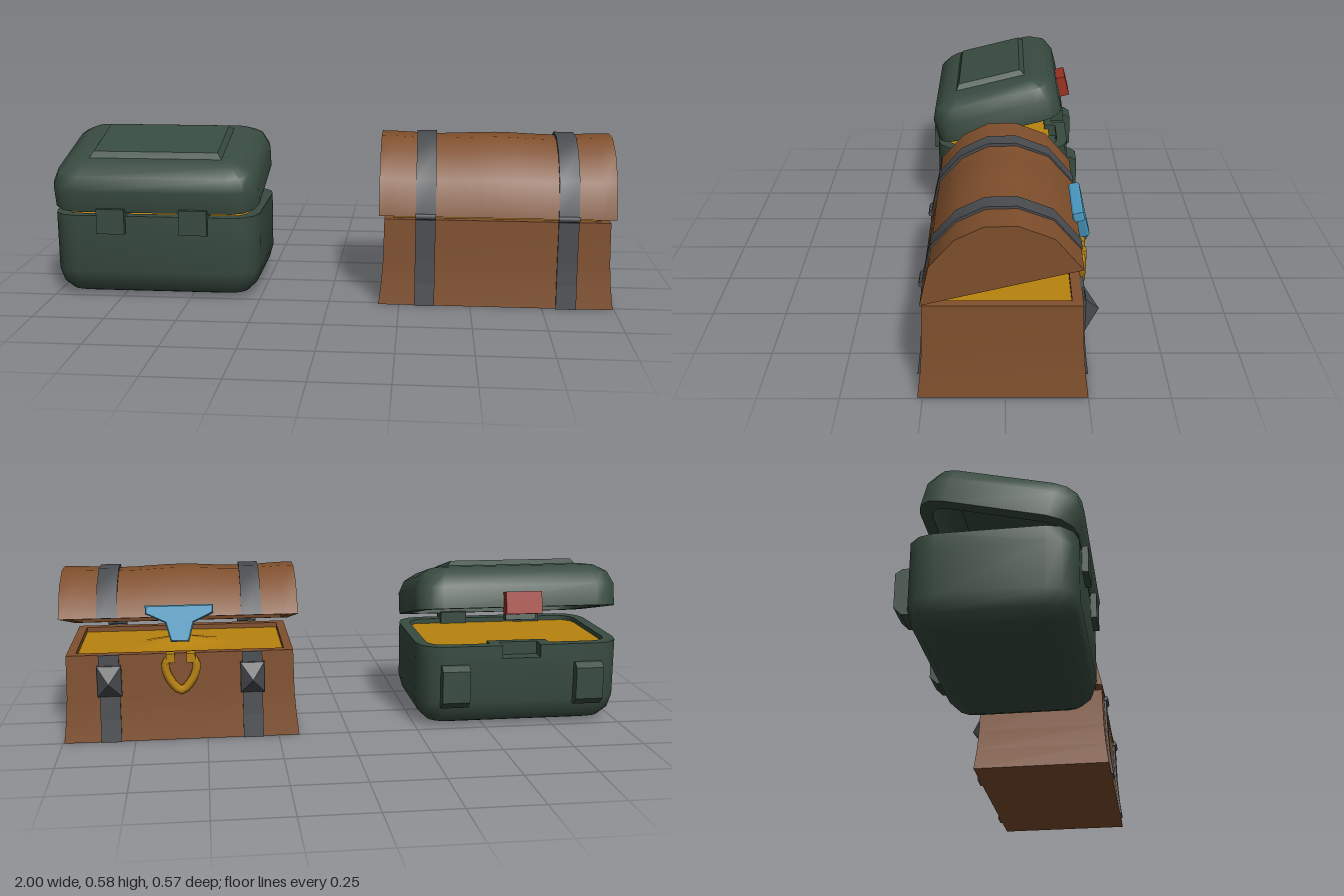
import * as THREE from 'three';
import { toCreasedNormals } from 'three/addons/utils/BufferGeometryUtils.js';

const mat = (name, color, side = THREE.FrontSide) => {
  const m = new THREE.MeshStandardMaterial({ color, side });
  m.name = name;
  return m;
};

// Rounded rectangle outline as [x, y] pairs, starting at the (+,+) corner
function roundRect(hx, hy, r, seg) {
  const pts = [];
  for (let c = 0; c < 4; c++) {
    const sx = c === 0 || c === 3 ? 1 : -1, sy = c < 2 ? 1 : -1;
    for (let i = 0; i <= seg; i++) {
      const t = (c + (seg ? i / seg : 0.5)) * Math.PI / 2;
      pts.push([sx * (hx - r) + r * Math.cos(t), sy * (hy - r) + r * Math.sin(t)]);
    }
  }
  return pts;
}

// Skin over stacked rounded rectangles [y, halfX, halfZ, radius]
function loft(rings, seg, crease) {
  const pos = [], idx = [], n = 4 * (seg + 1);
  for (const [y, hx, hz, r] of rings)
    for (const [x, z] of roundRect(hx, hz, r, seg)) pos.push(x, y, z);
  for (let j = 0; j < rings.length - 1; j++)
    for (let k = 0; k < n; k++) {
      const a = j * n + k, c = j * n + (k + 1) % n;
      idx.push(a, a + n, c, c, a + n, c + n);
    }
  const g = new THREE.BufferGeometry();
  g.setAttribute('position', new THREE.Float32BufferAttribute(pos, 3));
  g.setIndex(idx);
  return toCreasedNormals(g, crease);
}

const toShape = pts => new THREE.Shape(pts.map(([x, y]) => new THREE.Vector2(x, y)));

// Side profile of [distance toward the back, height], extruded along x and centred
function sideExtrude(pts, width, steps = 1) {
  const g = new THREE.ExtrudeGeometry(toShape(pts), { depth: width, steps, bevelEnabled: false });
  g.translate(0, 0, -width / 2);
  g.rotateY(Math.PI / 2);
  return g;
}

function add(parent, name, geo, material, x = 0, y = 0, z = 0) {
  const m = new THREE.Mesh(geo, material);
  m.name = name;
  m.position.set(x, y, z);
  parent.add(m);
  return m;
}

function hingeGroup(parent, name, y, z, angle) {
  const g = new THREE.Group();
  g.name = name;
  g.position.set(0, y, z);
  g.rotation.x = angle;
  parent.add(g);
  return g;
}

function makeCase(green, red, gold) {
  const g = new THREE.Group();
  g.name = 'greenCase';
  const hx = 0.372, hz = 0.257, r = 0.09, cz = 0.009;

  // Body with rounded bottom
  add(g, 'caseBody', loft([
    [0, 0, 0, 0], [0, hx - 0.085, hz - 0.085, 0.03], [0.014, hx - 0.045, hz - 0.045, 0.055],
    [0.045, hx - 0.014, hz - 0.014, 0.08], [0.095, hx, hz, r], [0.255, hx, hz, r], [0.255, 0, 0, 0],
  ], 3, 0.7), green, 0, 0, cz);

  // Rim with a pocket for the catch at the back
  const notched = (w, d, a, b, rad) => {
    const p = roundRect(a, b, rad, 3);
    p.splice(4, 0, [w, b], [w, b - d], [-w, b - d], [-w, b]);
    return p;
  };
  const rim = toShape(notched(0.07, 0.055, hx, hz, r));
  rim.holes.push(toShape(notched(0.11, 0.045, hx - 0.04, hz - 0.04, 0.06)));
  const rimGeo = new THREE.ExtrudeGeometry(rim, { depth: 0.047, bevelEnabled: false });
  rimGeo.rotateX(-Math.PI / 2);
  add(g, 'caseRim', toCreasedNormals(rimGeo, 0.7), green, 0, 0.255, cz);
  add(g, 'caseContents', new THREE.BoxGeometry(0.67, 0.03, 0.4), gold, 0, 0.27, 0.02);

  // Paired hinges at the front and clasps at the back
  const clasp = [[0.23, 0.235], [0.265, 0.235], [0.287, 0.22], [0.287, 0.105], [0.262, 0.08], [0.23, 0.08]];
  for (const s of [-1, 1]) {
    add(g, 'caseHinge', new THREE.BoxGeometry(0.1, 0.09, 0.075), green, s * 0.148, 0.285, 0.248);
    add(g, 'caseClasp', sideExtrude(clasp, 0.1), green, s * 0.245, 0, 0);
  }

  // Hollow lid, raised panel and catch
  const lid = hingeGroup(g, 'caseLid', 0.315, 0.265, 0.245);
  const lz = 0.252;
  add(lid, 'caseLidShell', loft([
    [0.12, 0, 0, 0], [0.12, 0.3, 0.18, 0.03], [0.08, hx - 0.04, lz - 0.04, 0.06],
    [0, hx - 0.04, lz - 0.04, 0.06], [0, hx, lz, r], [0.08, hx, lz, r],
    [0.126, hx - 0.02, lz - 0.02, 0.08], [0.153, hx - 0.065, lz - 0.065, 0.05],
    [0.16, hx - 0.1, lz - 0.1, 0.03], [0.16, 0, 0, 0],
  ], 3, 0.7), green, 0, 0, -lz);
  add(lid, 'caseLidPanel', loft([
    [0.15, 0.243, 0.142, 0], [0.16, 0.24, 0.139, 0], [0.18, 0.225, 0.124, 0], [0.18, 0, 0, 0],
  ], 0, 0.3), green, 0, 0, -lz);
  add(lid, 'caseTab', new THREE.BoxGeometry(0.11, 0.07, 0.03), green, 0, -0.01, -0.47);
  add(lid, 'caseCatch', new THREE.BoxGeometry(0.13, 0.08, 0.045), red, 0, 0.014, -0.518);
  return g;
}

function makeChest(brown, grey, gold, blue) {
  const g = new THREE.Group();
  g.name = 'woodChest';
  const cz = 0.008;
  const flare = [[0, 0.409, 0.258], [0.08, 0.4, 0.248], [0.16, 0.394, 0.242], [0.307, 0.391, 0.238]];

  // Flared open box
  add(g, 'chestBody', loft([
    [0, 0, 0, 0], ...flare.map(f => [...f, 0]),
    [0.307, 0.36, 0.205, 0], [0.2, 0.36, 0.205, 0], [0.2, 0, 0, 0],
  ], 0, 0.5), brown, 0, 0, cz);

  // Treasure surface with a low mound
  const heap = new THREE.PlaneGeometry(0.72, 0.41, 16, 10);
  heap.rotateX(-Math.PI / 2);
  const hp = heap.attributes.position;
  for (let i = 0; i < hp.count; i++) {
    const d = Math.hypot(hp.getX(i) / 0.16, hp.getZ(i) / 0.1);
    hp.setY(i, 0.289 + 0.031 * Math.max(0, 1 - d));
  }
  heap.computeVertexNormals();
  add(g, 'chestTreasure', heap, gold, 0, 0, cz);

  // Straps, knuckles and pyramid studs
  const band = s => [...flare.map(([y, , z]) => [s * (z - 0.004) - cz, y]),
    ...flare.map(([y, , z]) => [s * (z + 0.008) - cz, y]).reverse()];
  const stud = new THREE.ConeGeometry(0.0594, 0.045, 4).toNonIndexed();
  stud.rotateY(Math.PI / 4);
  stud.rotateX(-Math.PI / 2);
  stud.scale(1, 1.3, 1);
  stud.computeVertexNormals();
  const knuckle = new THREE.CylinderGeometry(0.01, 0.01, 0.072, 8);
  knuckle.rotateZ(Math.PI / 2);

  // Arched lid, hollow underneath
  const lid = hingeGroup(g, 'chestLid', 0.318, 0.25, 0.24);
  const half = [[0, 0], [0.058, 0.116], [0.152, 0.181]];
  const arch = [...half, [0.245, 0.2015], ...half.map(([d, h]) => [0.49 - d, h]).reverse()];
  const scaled = s => arch.map(([d, h]) => [0.245 + (d - 0.245) * s, h * s]);
  const shell = sideExtrude([...arch, ...scaled(0.87).reverse()], 0.82, 16);
  const sp = shell.attributes.position;
  for (let i = 0; i < sp.count; i++) {
    const k = 1 - 0.04 * Math.sin(2 * Math.PI * (sp.getX(i) / 0.82 + 0.5)) ** 2;
    sp.setY(i, sp.getY(i) * k);
  }
  add(lid, 'chestLidArch', toCreasedNormals(shell, 0.7), brown);

  for (const s of [-1, 1]) {
    add(lid, 'chestLidEnd', sideExtrude(scaled(0.995), 0.03), brown, s * 0.394);
    add(lid, 'lidStrap', toCreasedNormals(
      sideExtrude([...scaled(0.94), ...scaled(1.015).reverse()], 0.07), 0.7), grey, s * 0.247);
    add(g, 'frontStrap', sideExtrude(band(-1), 0.07), grey, s * 0.247);
    add(g, 'backStrap', sideExtrude(band(1), 0.07), grey, s * 0.247);
    add(g, 'strapHinge', knuckle, grey, s * 0.247, 0.318, 0.252);
    add(g, 'studPlate', new THREE.BoxGeometry(0.084, 0.11, 0.02), grey, s * 0.247, 0.215, -0.233);
    add(g, 'stud', stud, grey, s * 0.247, 0.215, -0.2645);
  }

  // T-shaped hasp on the lid
  const side = [[0.112, 0.036], [0.112, 0.014], [0.045, -0.018], [0.028, -0.082]];
  const hasp = new THREE.ExtrudeGeometry(
    toShape([...side, ...side.map(([x, y]) => [-x, y]).reverse()]),
    { depth: 0.024, bevelThickness: 0.006, bevelSize: 0.004, bevelSegments: 1 });
  add(lid, 'hasp', hasp, blue, 0, 0, -0.509);

  // Curved hook on the back of the body
  const path = new THREE.CatmullRomCurve3(
    [[-0.035, 0.295], [-0.053, 0.275], [-0.043, 0.225], [0, 0.178],
      [0.043, 0.225], [0.053, 0.275], [0.035, 0.295]]
      .map(([x, y]) => new THREE.Vector3(x, y, 0)));
  add(g, 'hook', new THREE.TubeGeometry(path, 18, 0.016, 6), gold, 0, 0, -0.243);
  for (const s of [-1, 1])
    add(g, 'hookMount', new THREE.BoxGeometry(0.03, 0.032, 0.04), gold, s * 0.035, 0.295, -0.24);
  return g;
}

export function createModel() {
  const model = new THREE.Group();
  model.name = 'twoOpenChests';
  const gold = mat('gold', 0xb9830f);
  const greenCase = makeCase(mat('dark green', 0x384b40), mat('red', 0x9c3122), gold);
  greenCase.position.x = -0.6275;
  const chest = makeChest(mat('brown wood', 0x7f4f2c, THREE.DoubleSide),
    mat('iron grey', 0x494c50), gold, mat('blue', 0x4a9bc3));
  chest.position.x = 0.586;
  model.add(greenCase, chest);
  return model;
}
